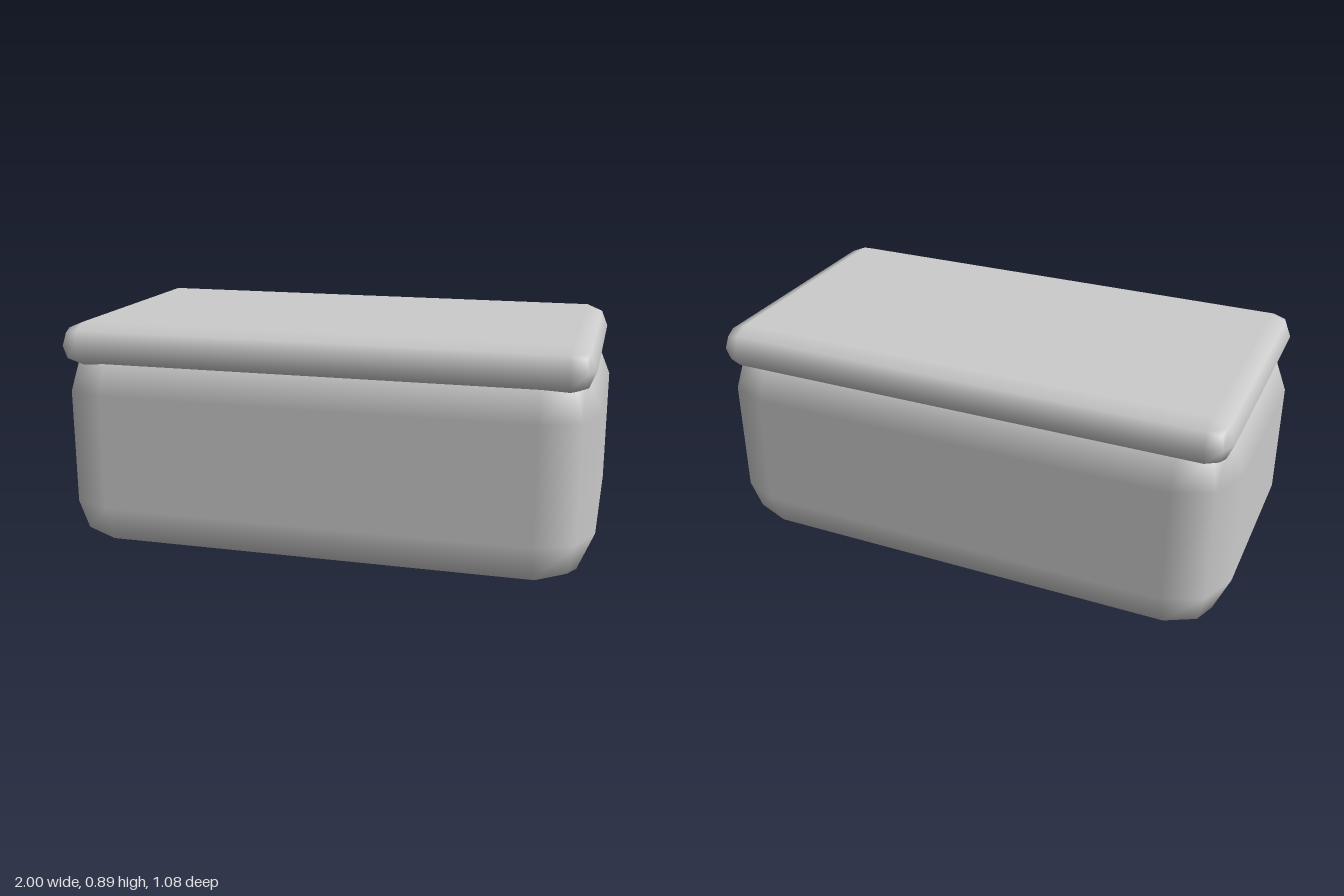
import * as THREE from 'three';
import { RoundedBoxGeometry } from 'three/addons/geometries/RoundedBoxGeometry.js';

export function createModel() {
  const group = new THREE.Group();
  group.name = 'lidded box';
  const material = new THREE.MeshStandardMaterial({ color: 0xcccccc });

  // Soft box with two-step rounded edges, resting on the given height
  const addPart = (name, width, height, depth, radius, bottom) => {
    const mesh = new THREE.Mesh(new RoundedBoxGeometry(width, height, depth, 1, radius), material);
    mesh.name = name;
    mesh.position.y = bottom + height / 2;
    group.add(mesh);
  };

  addPart('body', 2, 0.835, 1.08, 0.2, 0);
  // Lid edge is a full half-round
  addPart('lid', 1.956, 0.166, 1.058, 0.083, 0.727);

  return group;
}
